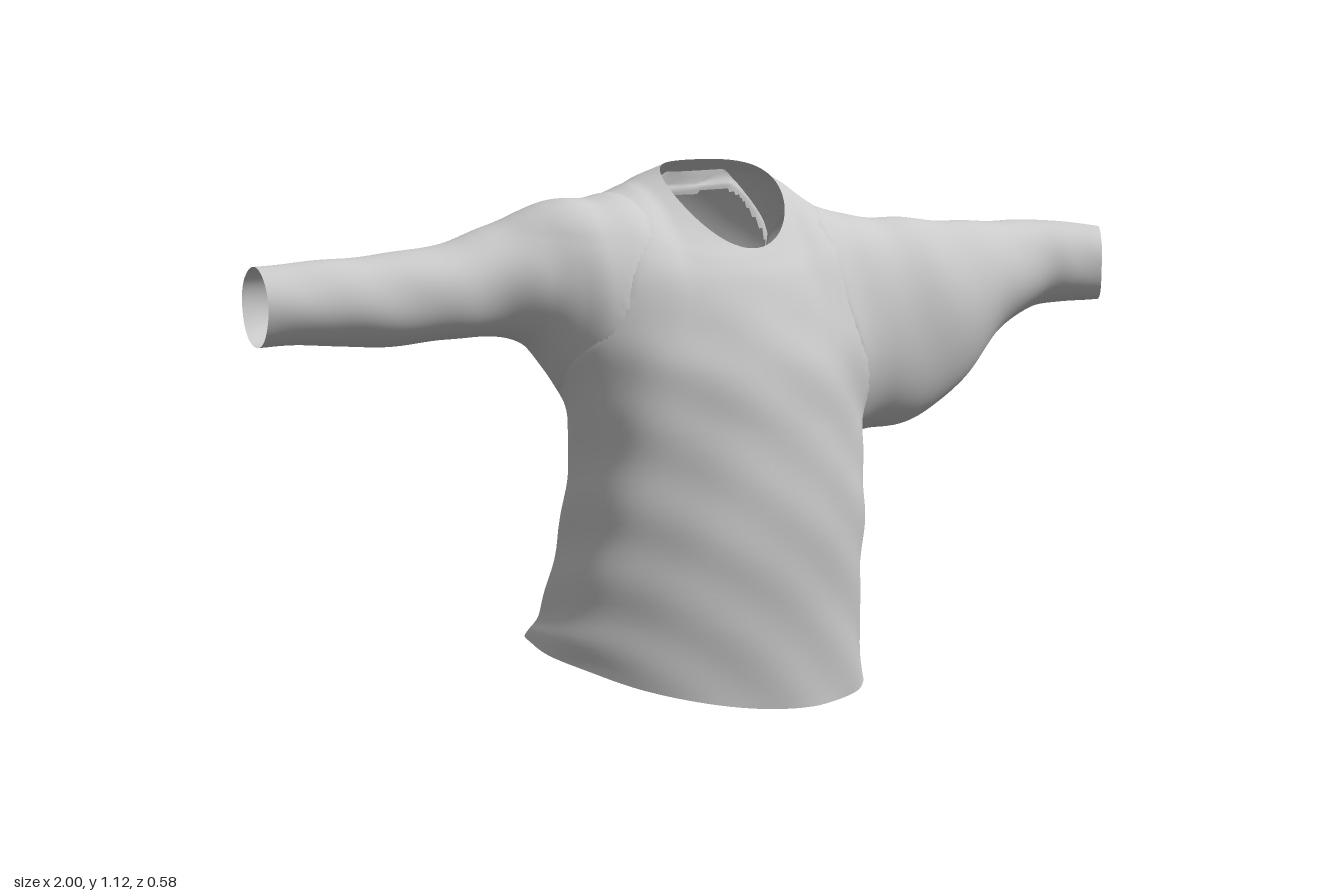
import * as THREE from 'three';

const material = new THREE.MeshStandardMaterial({ color: 0xcccccc, side: THREE.DoubleSide });

// Smooth interpolation of a row table, keyed by its first column
function sample(rows, key) {
  let i = 0;
  while (i < rows.length - 2 && key > rows[i + 1][0]) i++;
  const r0 = rows[Math.max(i - 1, 0)], r1 = rows[i], r2 = rows[i + 1], r3 = rows[Math.min(i + 2, rows.length - 1)];
  const h = r2[0] - r1[0];
  const t = THREE.MathUtils.clamp((key - r1[0]) / h, 0, 1);
  const t2 = t * t, t3 = t2 * t;
  return r1.map((v, k) => {
    if (k === 0) return key;
    const m1 = (r2[k] - r0[k]) / (r2[0] - r0[0]) * h;
    const m2 = (r3[k] - v) / (r3[0] - r1[0]) * h;
    return v * (2 * t3 - 3 * t2 + 1) + m1 * (t3 - 2 * t2 + t) + r2[k] * (3 * t2 - 2 * t3) + m2 * (t3 - t2);
  });
}

// Skin of rings. Near the neighbouring part it swells outward, so that the
// two run into each other softly; deep inside the neighbour it is left out.
function loft(name, rows, point, distance, blend, steps = 9, sides = 96) {
  const positions = [], index = [], gaps = [];
  let rings = 0;
  const addRing = (key) => {
    const row = sample(rows, key);
    for (let j = 0; j < sides; j++) {
      const p = point(row, j / sides * Math.PI * 2);
      positions.push(...p);
      gaps.push(distance(...p));
    }
    rings++;
  };
  for (let i = 0; i < rows.length - 1; i++) {
    for (let s = 0; s < steps; s++) addRing(THREE.MathUtils.lerp(rows[i][0], rows[i + 1][0], s / steps));
  }
  addRing(rows[rows.length - 1][0]);

  for (let i = 0; i < rings - 1; i++) {
    for (let j = 0; j < sides; j++) {
      const a = i * sides + j, b = i * sides + (j + 1) % sides;
      index.push(a, a + sides, b, b, a + sides, b + sides);
    }
  }
  const geometry = new THREE.BufferGeometry();
  const position = new THREE.Float32BufferAttribute(positions, 3);
  geometry.setAttribute('position', position);
  geometry.setIndex(index);
  geometry.computeVertexNormals();

  const p = new THREE.Vector3(), n = new THREE.Vector3();
  gaps.forEach((gap, i) => {
    const near = Math.max(1 - Math.abs(gap) / blend, 0);
    n.fromBufferAttribute(geometry.attributes.normal, i);
    p.fromBufferAttribute(position, i).addScaledVector(n, near * near * blend / 4);
    position.setXYZ(i, p.x, p.y, p.z);
  });
  const kept = [];
  for (let i = 0; i < index.length; i += 3) {
    const corners = index.slice(i, i + 3);
    if (corners.some((c) => gaps[c] > -0.28 * blend)) kept.push(...corners);
  }
  geometry.setIndex(kept);
  geometry.computeVertexNormals();
  const mesh = new THREE.Mesh(geometry, material);
  mesh.name = name;
  return mesh;
}

// Torso: y, right, left, back, front, side lift, forward tilt, sideways tilt
const torsoRows = [
  [0.05, -0.43, 0.34, -0.235, 0.25, 0.03, 0.03, 0.065],
  [0.2, -0.4, 0.315, -0.21, 0.27, 0, 0, 0.02],
  [0.4, -0.365, 0.31, -0.19, 0.285, 0, 0, 0],
  [0.6, -0.345, 0.3, -0.185, 0.275, 0, 0, 0],
  [0.72, -0.35, 0.305, -0.205, 0.262, 0, 0, 0],
  [0.82, -0.35, 0.3, -0.242, 0.23, 0, 0, 0],
  [0.9, -0.33, 0.28, -0.25, 0.195, 0.03, 0, 0],
  [0.97, -0.27, 0.23, -0.232, 0.165, 0.04, 0.03, 0],
  [1.02, -0.18, 0.185, -0.185, 0.148, 0.04, 0.065, 0],
  [1.04, -0.11, 0.145, -0.135, 0.14, 0.04, 0.08, 0],
];

// Sleeves: x, bottom, top, back, front, cuff slant
const leftRows = [
  [0, 0.8, 0.84, -0.02, 0.02, 0],
  [0.18, 0.6, 1.0, -0.15, 0.13, 0],
  [0.3, 0.545, 1.0, -0.15, 0.135, 0],
  [0.4, 0.535, 0.99, -0.125, 0.125, 0],
  [0.5, 0.555, 0.98, -0.12, 0.12, 0],
  [0.6, 0.62, 0.97, -0.125, 0.105, 0],
  [0.7, 0.715, 0.965, -0.125, 0.075, 0],
  [0.8, 0.765, 0.96, -0.125, 0.055, 0],
  [0.88, 0.775, 0.955, -0.1, 0.065, 0.015],
  [0.965, 0.78, 0.94, -0.05, 0.08, 0.035],
];
const rightRows = [
  [-1, 0.8, 0.96, -0.13, 0.01, 0],
  [-0.9, 0.8, 0.965, -0.14, 0.02, 0],
  [-0.75, 0.785, 0.97, -0.145, 0.035, 0],
  [-0.6, 0.79, 0.985, -0.14, 0.05, 0],
  [-0.5, 0.79, 1.015, -0.15, 0.055, 0],
  [-0.42, 0.765, 1.045, -0.155, 0.08, 0],
  [-0.36, 0.71, 1.058, -0.165, 0.105, 0],
  [-0.3, 0.66, 1.058, -0.175, 0.125, 0],
  [-0.2, 0.67, 1.04, -0.175, 0.12, 0],
  [0, 0.8, 0.84, -0.02, 0.02, 0],
];

// Collar cloth slumped behind the neck: y, right, left, back, front
const foldRows = [
  [0.69, 0.1, 0.105, -0.245, -0.24],
  [0.72, 0.02, 0.195, -0.28, -0.17],
  [0.8, -0.06, 0.215, -0.287, -0.13],
  [0.9, -0.1, 0.225, -0.282, -0.12],
  [1.0, -0.1, 0.215, -0.252, -0.13],
  [1.06, -0.08, 0.18, -0.2, -0.145],
  [1.095, -0.03, 0.13, -0.16, -0.145],
];

// Point on an oval given by its two ranges, and how far out a point lies on it
const oval = (lo, hi, unit, swell) => (lo + hi) / 2 + (hi - lo) / 2 * unit * swell;
const unitOf = (v, lo, hi) => (2 * v - lo - hi) / (hi - lo);

function sleeveField(x, y, z) {
  const [, y0, y1, z0, z1] = sample(x > 0 ? leftRows : rightRows, x);
  return Math.hypot(unitOf(y, y0, y1), unitOf(z, z0, z1)) - 1;
}

function torsoField(x, y, z) {
  let key = y, c, s;
  for (let i = 0; i < 5; i++) {
    const [, x0, x1, z0, z1, lift, tilt, lean] = sample(torsoRows, key);
    c = unitOf(x, x0, x1);
    s = unitOf(z, z0, z1);
    const r = Math.max(1, Math.hypot(c, s));
    key = y - lift * (c / r) ** 2 + tilt * s / r + lean * c / r;
  }
  return Math.hypot(c, s) - 1;
}

// Field value over its slope gives an approximate distance to a part
const toDistance = (field) => (x, y, z) => {
  const e = 0.004, f = field(x, y, z);
  return f * e / Math.max(Math.hypot(field(x + e, y, z) - f, field(x, y + e, z) - f, field(x, y, z + e) - f), 1e-5);
};
const toTorso = toDistance(torsoField);
const sleeveGap = toDistance(sleeveField);
// The middle of the torso lies clear of both sleeves
const toSleeve = (x, y, z) => sleeveGap(x, y, z) + 0.2 * (1 - THREE.MathUtils.smoothstep(Math.abs(x), 0.04, 0.18));

// Fine diagonal draped creases, fading out near the neck
function torsoPoint([y, x0, x1, z0, z1, lift, tilt, lean], a) {
  const c = Math.cos(a), s = Math.sin(a);
  const fade = THREE.MathUtils.smoothstep(1.0 - y, 0, 0.3);
  const swell = 1 + fade * (0.008 * Math.sin(38 * y + 9 * c - 4 * s) + 0.008 * Math.sin(9 * a + 8 * y));
  return [oval(x0, x1, c, swell), Math.max(0, y + lift * c * c - tilt * s - lean * c), oval(z0, z1, s, swell)];
}

function sleevePoint([x, y0, y1, z0, z1, slant], a) {
  const c = Math.cos(a), s = Math.sin(a);
  const swell = 1 + 0.01 * Math.sin(38 * x + 3 * s) + 0.008 * Math.sin(5 * a + 12 * x);
  return [x - slant * c, oval(y0, y1, s, swell), oval(z0, z1, c, swell)];
}

function foldPoint([y, x0, x1, z0, z1], a) {
  const c = Math.cos(a), s = Math.sin(a);
  const fade = THREE.MathUtils.smoothstep(1.1 - y, 0, 0.12);
  const swell = 1 + fade * (0.05 * Math.sin(9 * a + 16 * y) - 0.03 * Math.sin(35 * y + 4 * c));
  return [oval(x0, x1, c, swell), y, oval(z0, z1, s, swell)];
}

export function createModel() {
  const group = new THREE.Group();
  group.name = 'sweater';
  group.add(
    loft('torso', torsoRows, torsoPoint, toSleeve, 0.09),
    loft('leftSleeve', leftRows, sleevePoint, toTorso, 0.09),
    loft('rightSleeve', rightRows, sleevePoint, toTorso, 0.09),
    loft('collarFold', foldRows, foldPoint, toTorso, 0.025, 8, 120),
  );
  return group;
}
